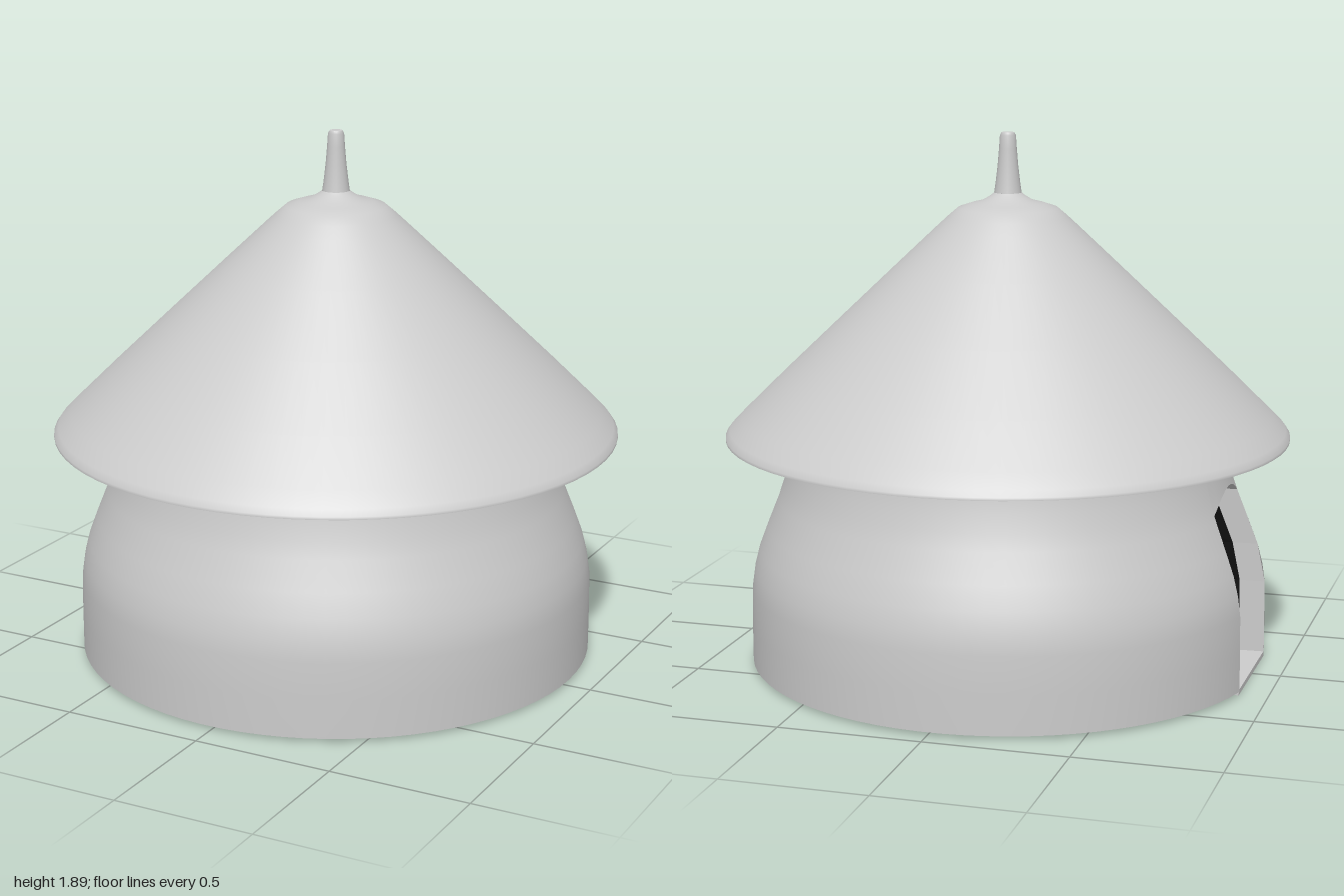
import * as THREE from 'three';

const GREY = () => new THREE.MeshStandardMaterial({ color: 0xcccccc, side: THREE.DoubleSide });
const BLACK = () => new THREE.MeshStandardMaterial({ color: 0x0a0a0a, side: THREE.DoubleSide });

const DOOR = 0.25;       // half angle of the doorway, which faces -x
const SPRING = 0.62;     // height where the door arch starts
const RISE = 0.06;       // height of the arch
const BASE = 0.012;

// Wall profile: radius and height
const WALL = [[0.92, BASE], [0.92, 0.15], [0.918, 0.28], [0.908, 0.35], [0.89, 0.42], [0.86, 0.5],
  [0.82, 0.6], [0.8, 0.66], [0.785, 0.72], [0.772, 0.78], [0.765, 0.85]];
const vec2 = (list) => list.map(([x, y]) => new THREE.Vector2(x, y));

function wallRadius(y) {
  for (let i = 1; i < WALL.length; i++) {
    const [r0, y0] = WALL[i - 1], [r1, y1] = WALL[i];
    if (y <= y1) return r0 + (r1 - r0) * Math.max(0, (y - y0) / (y1 - y0));
  }
  return WALL[WALL.length - 1][0];
}

function mesh(name, geometry, material) {
  const m = new THREE.Mesh(geometry, material);
  m.name = name;
  return m;
}

// Surface joining cross-sections that all have the same number of points
function loft(sections) {
  const n = sections[0].length, index = [];
  for (let s = 0; s < sections.length - 1; s++) {
    for (let i = 0; i < n - 1; i++) {
      const a = s * n + i, b = a + n;
      index.push(a, a + 1, b, b, a + 1, b + 1);
    }
  }
  const g = new THREE.BufferGeometry().setFromPoints(sections.flat());
  g.setIndex(index);
  const flat = g.toNonIndexed();
  flat.computeVertexNormals();
  return flat;
}

// Door outline as angle and height, up one jamb, over the arch and down the other
function doorOutline() {
  const pts = [[-DOOR, BASE]];
  for (const y of [0.28, 0.42, 0.52]) pts.push([-DOOR, y]);
  for (let i = 0; i <= 8; i++) {
    const t = i / 4 - 1;
    pts.push([t * DOOR, SPRING + RISE * Math.cos(t * Math.PI / 2)]);
  }
  for (const y of [0.52, 0.42, 0.28]) pts.push([DOOR, y]);
  pts.push([DOOR, BASE]);
  return pts;
}

export function createModel() {
  const model = new THREE.Group();
  const house = new THREE.Group();
  house.name = 'house';
  house.position.set(-0.01, 0, -0.02);
  model.add(house);

  // Round wall, left open at the doorway
  house.add(mesh('wall', new THREE.LatheGeometry(vec2(WALL), 72,
    Math.PI * 1.5 + DOOR, Math.PI * 2 - 2 * DOOR), GREY()));

  // Wall above the door, its lower edge lifted into an arch
  const rows = [SPRING, 0.66, 0.72, 0.78, 0.85].map((y) => [wallRadius(y), y]);
  const lintel = new THREE.LatheGeometry(vec2(rows), 8, Math.PI * 1.5 - DOOR, 2 * DOOR);
  const p = lintel.attributes.position;
  for (let i = 0; i < p.count; i++) {
    const angle = Math.atan2(p.getZ(i), -p.getX(i));
    const low = SPRING + RISE * Math.cos(angle / DOOR * Math.PI / 2);
    const old = p.getY(i);
    const y = low + (old - SPRING) / (0.85 - SPRING) * (0.85 - low);
    const k = wallRadius(y) / wallRadius(old);
    p.setXYZ(i, p.getX(i) * k, y, p.getZ(i) * k);
  }
  lintel.computeVertexNormals();
  house.add(mesh('lintel', lintel, GREY()));

  // Door reveal and the dark recess behind it
  const outline = doorOutline();
  const outer = outline.map(([a, y]) => {
    const r = wallRadius(y);
    return new THREE.Vector3(-r * Math.cos(a), y, r * Math.sin(a));
  });
  const inner = outer.map((v) => new THREE.Vector3(v.x + 0.09, v.y, v.z * 0.98));
  const back = outer.map((v) => new THREE.Vector3(-0.55, v.y * 0.98, v.z * 0.93));
  const centre = back.map(() => new THREE.Vector3(-0.55, BASE, 0));
  house.add(mesh('doorReveal', loft([outer, inner]), GREY()));
  house.add(mesh('doorRecess', loft([inner, back, centre]), BLACK()));

  // Door floor, a thin slab narrowing inwards
  const floor = new THREE.Shape(vec2([[-0.89, -0.23], [-0.55, -0.21], [-0.55, 0.21], [-0.89, 0.23]]));
  const slab = new THREE.ExtrudeGeometry(floor, { depth: 0.018, bevelEnabled: false });
  slab.rotateX(Math.PI / 2).translate(0, 0.018, 0);
  house.add(mesh('doorFloor', slab, GREY()));

  // Conical roof with a rounded shoulder and a thin eave
  const roof = [[1, 0.815], [1, 0.825], [0.985, 0.846], [0.94, 0.892], [0.8, 1.03], [0.6, 1.222], [0.4, 1.413],
    [0.25, 1.555], [0.21, 1.592], [0.175, 1.622], [0.13, 1.637], [0.09, 1.647], [0.06, 1.665], [0.048, 1.675]];
  model.add(mesh('roof', new THREE.LatheGeometry(vec2(roof), 72), GREY()));

  // Underside of the roof
  model.add(mesh('eaveLip', new THREE.LatheGeometry(vec2([[0.885, 0.835], [1, 0.815]]), 72), GREY()));
  model.add(mesh('ceiling', new THREE.LatheGeometry(vec2([[0, 0.835], [0.885, 0.835]]), 72), GREY()));

  // Finial
  const spire = [[0.048, 1.675], [0.043, 1.71], [0.036, 1.77], [0.031, 1.83], [0.028, 1.875], [0.022, 1.885]];
  model.add(mesh('finial', new THREE.LatheGeometry(vec2(spire), 24), GREY()));
  model.add(mesh('finialTop', new THREE.LatheGeometry(vec2([[0.022, 1.885], [0, 1.886]]), 24), GREY()));

  return model;
}
